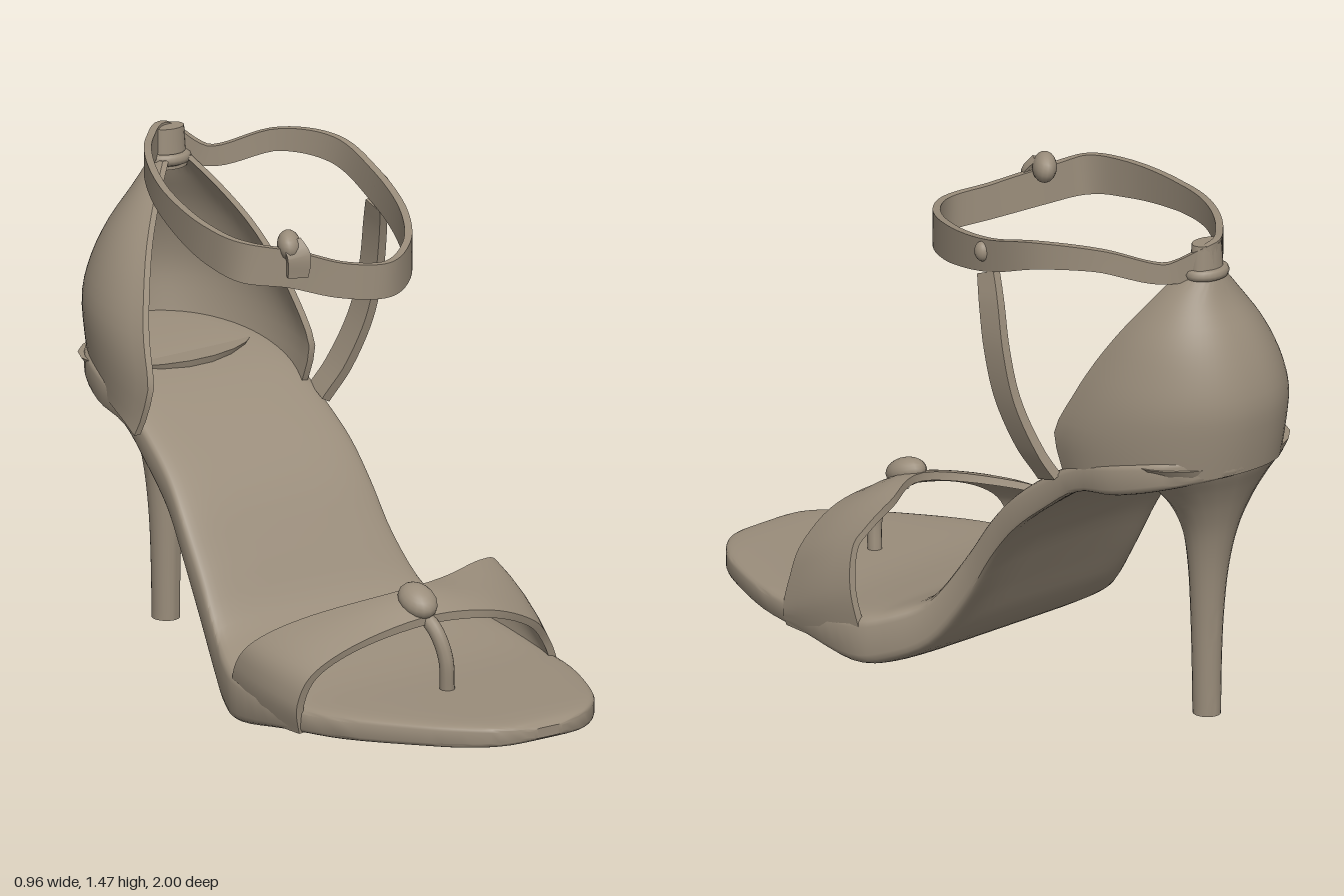
import * as THREE from 'three';
import { toCreasedNormals } from 'three/addons/utils/BufferGeometryUtils.js';

const taupe = new THREE.MeshStandardMaterial({ color: 0x9a8d7b });
taupe.name = 'taupe leather';

const V = (x, y, z) => new THREE.Vector3(x, y, z);
const pow = (v, e) => Math.sign(v) * Math.abs(v) ** e;

// Smoothly resample a small table of stations (Catmull-Rom on every column)
function resample(rows, n) {
  const out = [];
  for (let i = 0; i <= n; i++) {
    const f = (i / n) * (rows.length - 1);
    const k = Math.min(Math.floor(f), rows.length - 2), t = f - k;
    const [a, b, c, d] = [-1, 0, 1, 2].map(o => rows[THREE.MathUtils.clamp(k + o, 0, rows.length - 1)]);
    out.push(b.map((_, j) => b[j] + 0.5 * t * (c[j] - a[j] + t * (2 * a[j] - 5 * b[j] + 4 * c[j] - d[j]
      + t * (3 * (b[j] - c[j]) + d[j] - a[j])))));
  }
  return out;
}

// Skin a list of closed cross-section loops; ends are capped unless the loft is a ring
function loft(rings, ring = false, crease = 0.7) {
  const m = rings[0].length, n = rings.length, pts = rings.flat(), idx = [];
  for (let i = 0; i < (ring ? n : n - 1); i++) {
    for (let j = 0; j < m; j++) {
      const a = i * m + j, b = i * m + (j + 1) % m;
      const c = ((i + 1) % n) * m + j, d = ((i + 1) % n) * m + (j + 1) % m;
      idx.push(a, b, c, b, d, c);
    }
  }
  if (!ring) {
    for (const [i, flip] of [[0, true], [n - 1, false]]) {
      // strip-wise cap: joins opposite points of the loop
      for (let j = 0; j < m / 2 - 1; j++) {
        const q = [j, j + 1, m - 2 - j, m - 1 - j].map(k => i * m + k);
        const tri = [q[0], q[1], q[3], q[1], q[2], q[3]];
        idx.push(...(flip ? tri.reverse() : tri));
      }
    }
  }
  // turn the faces outwards
  let volume = 0;
  const cr = V(0, 0, 0);
  for (let i = 0; i < idx.length; i += 3) {
    volume += pts[idx[i]].dot(cr.crossVectors(pts[idx[i + 1]], pts[idx[i + 2]]));
  }
  if (volume < 0) idx.reverse();
  const g = new THREE.BufferGeometry().setFromPoints(pts);
  g.setIndex(idx);
  return toCreasedNormals(g, crease);
}

// Flat strap along a path of [x, y, z, half width]
function strap(rows, { closed = false, across = V(0, 1, 0), thick = 0.022, n = 60 } = {}) {
  const curve = new THREE.CatmullRomCurve3(rows.map(r => V(r[0], r[1], r[2])), closed);
  const rings = [];
  for (let i = 0; i < (closed ? n : n + 1); i++) {
    const t = i / n, f = t * (closed ? rows.length : rows.length - 1), k = Math.floor(f);
    const h = THREE.MathUtils.lerp(rows[k % rows.length][3], rows[(k + 1) % rows.length][3], f - k);
    const p = curve.getPoint(t), tan = curve.getTangent(t);
    const side = tan.clone().cross(across).normalize().multiplyScalar(thick / 2);
    const up = side.clone().cross(tan).normalize().multiplyScalar(h);
    rings.push([[1, 1], [1, -1], [-1, -1], [-1, 1]].map(([s, u]) =>
      p.clone().addScaledVector(side, s).addScaledVector(up, u)));
  }
  return loft(rings, closed);
}

// Sole: z, left x, right x, bottom y, top y, hollow of the underside
function soleGeometry() {
  const rows = [
    [1, 0, 0.1, 0.085, 0.115, 0], [0.97, -0.1, 0.2, 0.07, 0.13, 0], [0.9, -0.185, 0.285, 0.06, 0.135, 0],
    [0.8, -0.27, 0.35, 0.055, 0.135, 0], [0.6, -0.4, 0.43, 0.045, 0.135, 0], [0.4, -0.465, 0.465, 0.035, 0.14, 0],
    [0.2, -0.475, 0.475, 0, 0.17, 0], [0.1, -0.45, 0.43, 0.015, 0.195, 0], [0, -0.41, 0.355, 0.07, 0.25, 0.02],
    [-0.1, -0.39, 0.31, 0.205, 0.39, 0.05], [-0.2, -0.38, 0.3, 0.37, 0.53, 0.05], [-0.3, -0.36, 0.3, 0.49, 0.63, 0.05],
    [-0.42, -0.345, 0.295, 0.59, 0.715, 0.04], [-0.55, -0.33, 0.295, 0.68, 0.785, 0.02], [-0.7, -0.315, 0.295, 0.71, 0.83, 0],
    [-0.85, -0.25, 0.235, 0.755, 0.855, 0], [-0.95, -0.12, 0.11, 0.79, 0.865, 0], [-0.975, -0.04, 0.04, 0.81, 0.86, 0]];
  return loft(resample(rows, 68).map(([z, l, r, b, t, hollow]) => {
    const loop = [];
    for (let j = 0; j < 36; j++) {
      const a = ((j + 0.5) / 36) * Math.PI * 2;
      const s = pow(Math.cos(a), 0.4), v = pow(Math.sin(a), 0.3);
      const lift = v < 0 ? hollow * (1 - s ** 4) * -v : 0;
      loop.push(V((l + r) / 2 + s * (r - l) / 2, (b + t) / 2 + v * (t - b) / 2 + lift, z));
    }
    return loop;
  }));
}

// Stiletto heel: y, half width, front z, back z
function heelGeometry() {
  const rows = [[0, 0.04, -0.735, -0.82], [0.15, 0.042, -0.733, -0.822], [0.3, 0.047, -0.73, -0.828],
    [0.45, 0.06, -0.727, -0.842], [0.57, 0.085, -0.717, -0.866], [0.66, 0.13, -0.69, -0.895],
    [0.73, 0.19, -0.64, -0.925], [0.79, 0.25, -0.61, -0.955], [0.825, 0.28, -0.6, -0.965]];
  return loft(resample(rows, 32).map(([y, w, f, b]) => Array.from({ length: 20 }, (_, j) => {
    const a = ((j + 0.5) / 20) * Math.PI * 2;
    return V(-0.012 + w * Math.cos(a), y, (f + b) / 2 + (f - b) / 2 * Math.sin(a));
  })));
}

// Heel cup: y, half width, rim z, back z, centre x; lower edge dips towards the front
function counterGeometry() {
  const levels = resample([[0.8, 0.325, -0.42, -0.975, -0.01], [0.9, 0.338, -0.42, -0.992, -0.01],
    [1, 0.325, -0.49, -1, -0.01], [1.1, 0.285, -0.56, -0.98, -0.005], [1.2, 0.225, -0.635, -0.94, 0.005],
    [1.3, 0.14, -0.71, -0.885, 0.015], [1.38, 0.06, -0.765, -0.855, 0.02]], 18);
  const rings = [];
  for (let i = 0; i <= 40; i++) {
    const u = i / 20 - 1, a = u * Math.PI / 2;
    const wall = inset => levels.map(([y, w, f, b, cx], k) => {
      const low = 1 - k / 18, flap = u < 0 ? u ** 6 * low ** 3 * 0.1 : 0;
      const front = f - u * 0.035 * low - (Math.abs(u) ** 6) * 0.03 * Math.max(0, low * 6 - 5);
      const curl = 1 - 0.14 * u ** 6;
      return V(cx - flap + (w - inset) * curl * pow(Math.sin(a), 0.88), y - 0.09 * u * u * low ** 3,
        front - (front - b - inset) * Math.cos(a) ** 0.92);
    });
    rings.push([...wall(0), ...wall(0.025).reverse()]);
  }
  return loft(rings);
}

// Toe band: rear edge xyz, front edge xyz, from one side of the sole to the other
function toeBandGeometry() {
  const rows = [[-0.45, 0.06, 0.15, -0.45, 0.05, 0.47], [-0.47, 0.18, 0.18, -0.465, 0.14, 0.48],
    [-0.44, 0.27, 0.24, -0.42, 0.235, 0.5], [-0.3, 0.34, 0.32, -0.27, 0.31, 0.53],
    [-0.05, 0.4, 0.43, -0.04, 0.35, 0.55], [0.15, 0.385, 0.36, 0.17, 0.33, 0.56],
    [0.34, 0.375, 0.27, 0.34, 0.26, 0.53], [0.43, 0.345, 0.23, 0.42, 0.18, 0.5],
    [0.475, 0.23, 0.19, 0.455, 0.1, 0.49], [0.455, 0.06, 0.15, 0.45, 0.05, 0.48]];
  const core = V(0, 0.08, 0.38);
  return loft(resample(rows, 54).map(r => {
    const rear = V(r[0], r[1], r[2]), front = V(r[3], r[4], r[5]);
    const outer = [0, 0.25, 0.5, 0.75, 1].map(t => {
      const p = rear.clone().lerp(front, t);
      const out = p.clone().sub(core).setZ(0).normalize();
      return p.addScaledVector(out, 0.05 * t * (1 - t));
    });
    const inner = outer.map(p => p.clone().addScaledVector(p.clone().sub(core).setZ(0).normalize(), -0.025));
    return [...outer, ...inner.reverse()];
  }));
}

export function createModel() {
  const shoe = new THREE.Group();
  shoe.name = 'highHeelSandal';
  const add = (name, geometry, pos = [0, 0, 0], rot = [0, 0, 0], scale = [1, 1, 1]) => {
    const mesh = new THREE.Mesh(geometry, taupe);
    mesh.name = name;
    mesh.position.set(...pos);
    mesh.rotation.set(...rot);
    mesh.scale.set(...scale);
    shoe.add(mesh);
  };
  const tube = (points, r) => new THREE.TubeGeometry(
    new THREE.CatmullRomCurve3(points.map(p => V(...p))), 24, r, 10);
  const ball = new THREE.SphereGeometry(1, 16, 12);

  add('sole', soleGeometry());
  add('heel', heelGeometry());
  add('heelCounter', counterGeometry());

  // Toe strap with its knot and thong
  add('toeBand', toeBandGeometry());
  add('toeKnot', ball, [-0.05, 0.385, 0.5], [0.4, 0, 0.2], [0.052, 0.042, 0.07]);
  add('toeThong', tube([[-0.045, 0.36, 0.49], [-0.035, 0.31, 0.565], [-0.02, 0.23, 0.595], [-0.01, 0.12, 0.59]], 0.022));

  // Ankle strap loop
  add('ankleStrap', strap([[0.03, 1.425, -0.84, 0.045], [-0.08, 1.425, -0.76, 0.042], [-0.2, 1.425, -0.6, 0.038],
    [-0.3, 1.4, -0.38, 0.042], [-0.36, 1.365, -0.1, 0.055], [-0.34, 1.345, 0.05, 0.06], [-0.22, 1.32, 0.12, 0.055],
    [-0.1, 1.285, 0.2, 0.052], [0.03, 1.272, 0.24, 0.052], [0.16, 1.285, 0.16, 0.055], [0.28, 1.315, -0.02, 0.055],
    [0.36, 1.365, -0.27, 0.048], [0.365, 1.42, -0.47, 0.04], [0.28, 1.425, -0.63, 0.033], [0.12, 1.375, -0.75, 0.03]],
  { closed: true, n: 110 }));
  add('buckleKnot', ball, [-0.215, 1.385, 0.1], [0, -0.6, 0.15], [0.035, 0.045, 0.055]);
  add('buckleTail', strap([[-0.225, 1.4, 0.12, 0.03], [-0.215, 1.36, 0.145, 0.035], [-0.215, 1.3, 0.14, 0.03]],
    { across: V(1, 0, 0.4), n: 12 }));
  add('strapKeeper', ball, [0.365, 1.37, -0.24], [0, 0, 0], [0.022, 0.03, 0.025]);

  // Tab and collar holding the ankle strap to the heel cup
  add('heelTab', new THREE.CylinderGeometry(0.05, 0.06, 0.12, 16), [0.025, 1.405, -0.815], [0, 0, 0], [1, 1, 0.7]);
  add('heelCollar', new THREE.TorusGeometry(0.055, 0.018, 8, 24), [0.022, 1.375, -0.812], [Math.PI / 2, 0, 0], [1, 0.8, 1]);

  // Side strap rising from the sole to the ankle strap
  add('sideStrap', strap([[0.285, 0.71, -0.435, 0.045], [0.33, 0.8, -0.4, 0.045], [0.375, 0.95, -0.355, 0.042],
    [0.39, 1.1, -0.325, 0.04], [0.38, 1.22, -0.295, 0.038], [0.36, 1.31, -0.26, 0.032]],
  { across: V(0, 0.1, 1), thick: 0.028, n: 30 }));
  return shoe;
}
